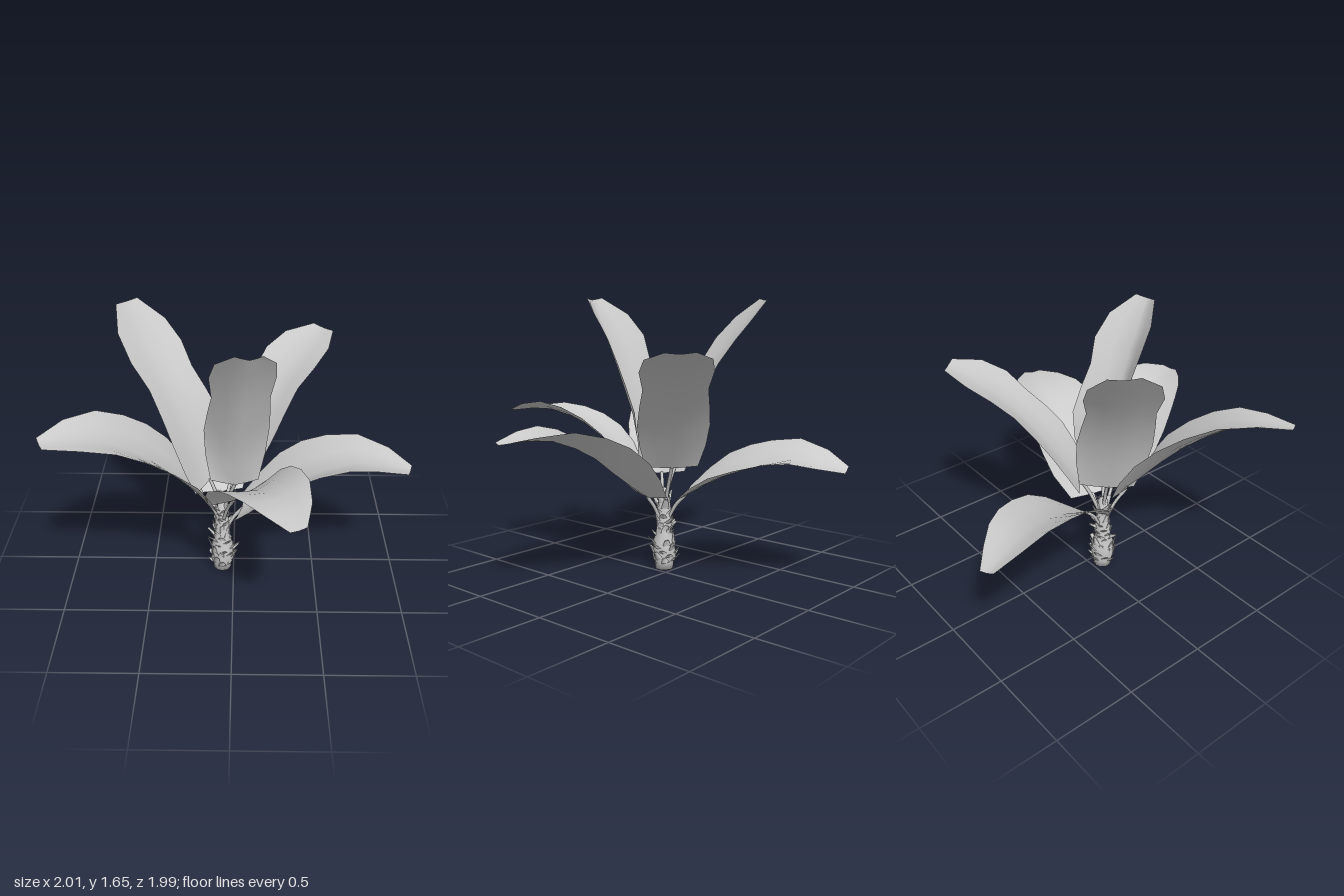
import * as THREE from 'three';

const material = new THREE.MeshStandardMaterial({ color: 0xcccccc, side: THREE.DoubleSide });
const V = (a) => new THREE.Vector3(...a);
const AXIS = { x: -0.07, z: 0.07 };

function add(parent, geometry, name) {
  const mesh = new THREE.Mesh(geometry, material);
  mesh.name = name;
  parent.add(mesh);
  return mesh;
}

// Blade half width along the leaf, from its blunt base to its tip
const POINTED = [0.62, 0.9, 1, 1, 0.93, 0.8, 0.55, 0.2];
const BLUNT = [0.75, 0.93, 1, 0.94, 0.86, 0.96, 0.85, 0.38];
const COLUMNS = [-1, -0.5, 0, 0.5, 1];

// Channelled blade: rows across the midrib, both edges lifted by the fold
function bladeGeometry(midrib, sideDir, halfWidth, fold, outline) {
  const curve = new THREE.CatmullRomCurve3(midrib);
  const rows = outline.length;
  const position = [];
  const index = [];
  outline.forEach((w, i) => {
    const t = i / (rows - 1);
    const p = curve.getPointAt(t);
    const tangent = curve.getTangentAt(t);
    const side = sideDir.clone().addScaledVector(tangent, -sideDir.dot(tangent)).normalize();
    const up = new THREE.Vector3().crossVectors(side, tangent);
    if (up.y < 0) up.negate();
    const lift = w * halfWidth * fold * Math.min(1, 0.35 + 3 * t) * (1 - 0.6 * t ** 4);
    for (const u of COLUMNS) {
      const q = p.clone()
        .addScaledVector(side, u * w * halfWidth)
        .addScaledVector(up, Math.pow(Math.abs(u), 1.3) * lift);
      position.push(q.x, q.y, q.z);
    }
  });
  const n = COLUMNS.length;
  for (let i = 0; i < rows - 1; i++) {
    for (let j = 0; j < n - 1; j++) {
      const a = i * n + j;
      index.push(a, a + 1, a + n, a + 1, a + n + 1, a + n);
    }
  }
  const geometry = new THREE.BufferGeometry();
  geometry.setAttribute('position', new THREE.Float32BufferAttribute(position, 3));
  geometry.setIndex(index);
  geometry.computeVertexNormals();
  return geometry;
}

// A leaf: slender stalk out of the trunk, then the blade
function addLeaf(parent, name, { midrib, side, width, fold, from, outline = POINTED }) {
  const leaf = new THREE.Group();
  leaf.name = name;
  const points = midrib.map(V);
  const base = points[0];
  const start = new THREE.Vector3(AXIS.x, from, AXIS.z).lerp(base.clone().setY(from), 0.15);
  const bend = start.clone().lerp(base, 0.5);
  bend.y += 0.02;
  const end = base.clone().lerp(points[1], 0.04);
  const stalk = new THREE.CatmullRomCurve3([start, bend, end]);
  add(leaf, new THREE.TubeGeometry(stalk, 8, 0.011, 6), 'stalk');
  add(leaf, bladeGeometry(points, V(side), width, fold, outline), 'blade');
  parent.add(leaf);
}

// Trunk with ragged, overlapping bark scales
function addTrunk(parent) {
  const trunk = new THREE.Group();
  trunk.name = 'trunk';
  trunk.position.set(AXIS.x, 0, AXIS.z);
  const profile = [[0, 0], [0.055, 0], [0.058, 0.04], [0.072, 0.08], [0.07, 0.17], [0.05, 0.22],
    [0.046, 0.34], [0.036, 0.42], [0.025, 0.5], [0, 0.51]];
  add(trunk, new THREE.LatheGeometry(profile.map((p) => new THREE.Vector2(...p)), 10), 'core');

  const count = 66;
  for (let i = 0; i < count; i++) {
    const y = 0.06 + 0.4 * Math.pow(i / (count - 1), 1.2);
    const radius = y < 0.19 ? 0.07 : 0.048 - 0.07 * Math.max(0, y - 0.28);
    const length = 0.05 + 0.02 * Math.sin(i * 5.3);
    const scale = new THREE.CylinderGeometry(0.012, 0.026, length, 4);
    scale.scale(1, 1, 0.25);
    scale.translate(0, length / 2, 0);
    scale.rotateZ(0.35 * Math.sin(i * 2.3));
    scale.rotateX(0.5 + 0.4 * Math.sin(i * 3.7));
    scale.translate(0, y - 0.015, radius - 0.008);
    scale.rotateY(i * 2.39996);
    add(trunk, scale, 'barkScale');
  }
  parent.add(trunk);
}

export function createModel() {
  const plant = new THREE.Group();
  plant.name = 'broadLeafPlant';
  addTrunk(plant);

  addLeaf(plant, 'leftLeaf', {
    midrib: [[0.05, 0.46, 0.09], [0.24, 0.59, 0.13], [0.44, 0.75, 0.17], [0.72, 0.87, 0.22], [0.99, 0.87, 0.31]],
    side: [-0.15, 0, 1], width: 0.26, fold: 0.4, from: 0.27,
  });
  addLeaf(plant, 'backLeaf', {
    midrib: [[-0.09, 0.47, -0.07], [-0.15, 0.59, -0.27], [-0.22, 0.68, -0.48], [-0.32, 0.74, -0.72], [-0.41, 0.69, -0.98]],
    side: [1, -0.25, -0.15], width: 0.245, fold: 0.3, from: 0.3,
  });
  addLeaf(plant, 'backLeftLeaf', {
    midrib: [[0, 0.65, -0.05], [0.11, 0.86, -0.16], [0.24, 1.07, -0.28], [0.39, 1.25, -0.42], [0.55, 1.36, -0.57]],
    side: [0.7, 0, 0.7], width: 0.21, fold: 0.27, from: 0.4, outline: BLUNT,
  });
  addLeaf(plant, 'frontLeaf', {
    midrib: [[0, 0.62, 0.25], [0.06, 0.75, 0.37], [0.15, 0.89, 0.54], [0.25, 0.97, 0.76], [0.33, 0.95, 0.98]],
    side: [0.9, 0.12, -0.35], width: 0.23, fold: 0.3, from: 0.38,
  });
  addLeaf(plant, 'frontRightLeaf', {
    midrib: [[-0.16, 0.57, 0.17], [-0.28, 0.73, 0.23], [-0.47, 0.96, 0.34], [-0.73, 1.16, 0.48], [-0.98, 1.21, 0.62]],
    side: [0.48, -0.2, 0.87], width: 0.25, fold: 0.36, from: 0.35,
  });
  addLeaf(plant, 'tallRightLeaf', {
    midrib: [[-0.14, 0.63, 0.04], [-0.24, 0.92, 0.01], [-0.35, 1.17, -0.05], [-0.48, 1.4, -0.14], [-0.62, 1.64, -0.27]],
    side: [-0.56, -0.04, 0.8], width: 0.22, fold: 0.25, from: 0.44, outline: BLUNT,
  });
  addLeaf(plant, 'tallFrontLeaf', {
    midrib: [[0.01, 0.66, 0.14], [0.03, 0.92, 0.21], [0.05, 1.17, 0.3], [0.065, 1.4, 0.39], [0.085, 1.64, 0.52]],
    side: [1, 0, -0.1], width: 0.19, fold: 0.8, from: 0.44, outline: BLUNT,
  });
  return plant;
}
